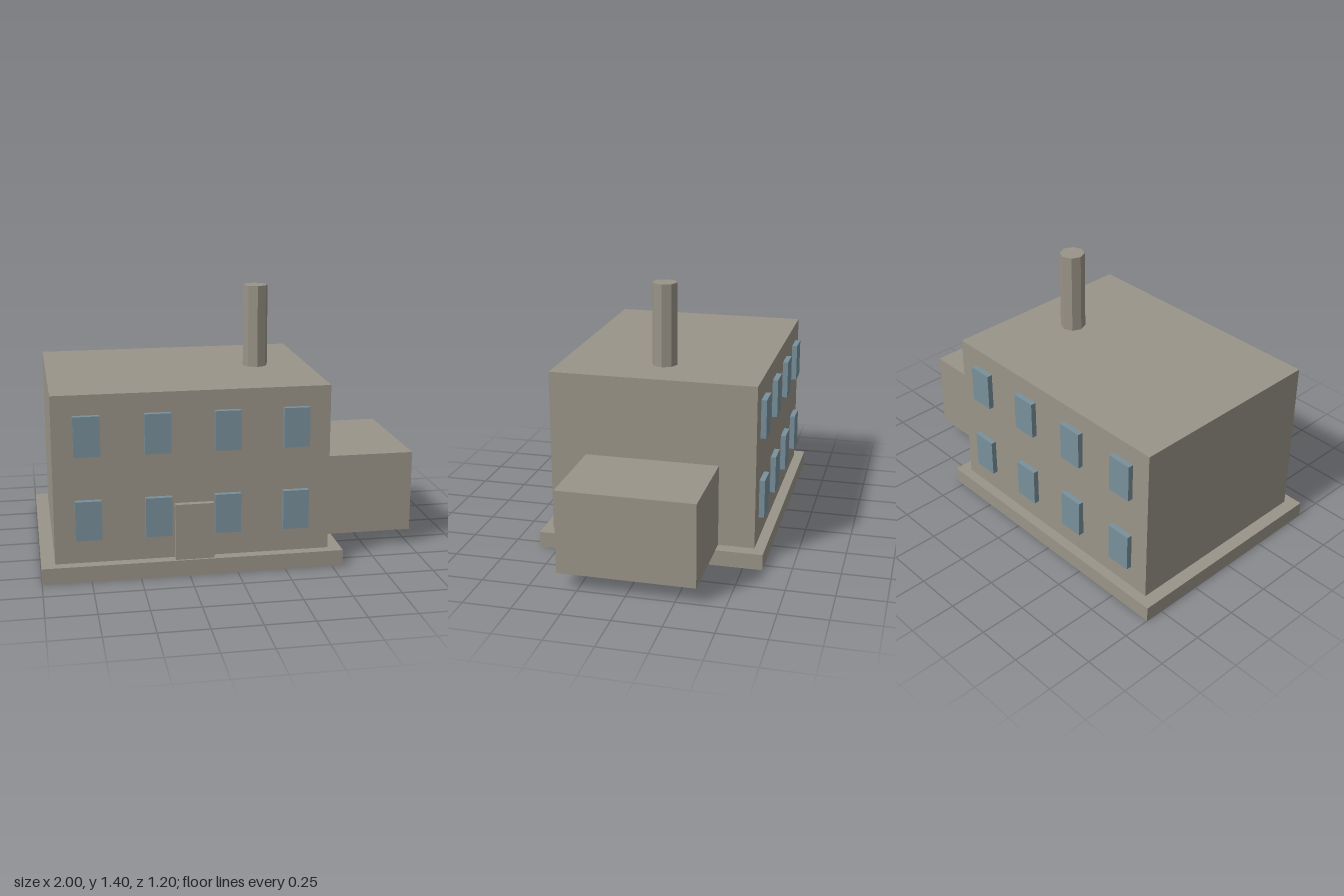
import * as THREE from 'three';

export function createModel() {
  const model = new THREE.Group();
  model.name = 'factory';

  const wall = new THREE.MeshStandardMaterial({ color: 0x9a9488 });
  wall.name = 'warm grey wall';
  const glass = new THREE.MeshStandardMaterial({ color: 0x78909c });
  glass.name = 'blue grey glass';

  // Box given by its lower and upper limits on each axis
  function box(name, [x0, x1], [y0, y1], [z0, z1], material, parent = model) {
    const mesh = new THREE.Mesh(new THREE.BoxGeometry(x1 - x0, y1 - y0, z1 - z0), material);
    mesh.position.set((x0 + x1) / 2, (y0 + y1) / 2, (z0 + z1) / 2);
    mesh.name = name;
    parent.add(mesh);
  }

  const floor = 0.085, roof = 0.96, wallZ = 0.547;
  box('foundation', [-1, 0.557], [0, floor], [-0.602, 0.602], wall);
  box('mainBuilding', [-0.93, 0.488], [floor, roof], [-wallZ, wallZ], wall);
  box('sideAnnex', [0.488, 1], [floor, 0.524], [-0.355, 0.355], wall);
  box('door', [-0.32, -0.122], [floor, 0.38], [0.557, 0.59], wall);

  // Octagonal chimney
  const chimneyTop = 1.4;
  const chimneyGeometry = new THREE.CylinderGeometry(0.067, 0.067, chimneyTop - roof, 8).toNonIndexed();
  chimneyGeometry.computeVertexNormals();
  const chimney = new THREE.Mesh(chimneyGeometry, wall);
  chimney.position.set(0.204, (roof + chimneyTop) / 2, 0);
  chimney.name = 'chimney';
  model.add(chimney);

  // Two rows of four windows on the front and the back
  const windows = new THREE.Group();
  windows.name = 'windows';
  model.add(windows);
  for (const side of [1, -1]) {
    for (const y of [0.212, 0.65]) {
      for (let i = 0; i < 4; i++) {
        const x = -0.757 + i * 0.355;
        const depth = side > 0 ? [wallZ, 0.576] : [-0.576, -wallZ];
        box(side > 0 ? 'frontWindow' : 'backWindow', [x - 0.067, x + 0.067], [y, y + 0.206], depth, glass, windows);
      }
    }
  }

  return model;
}
